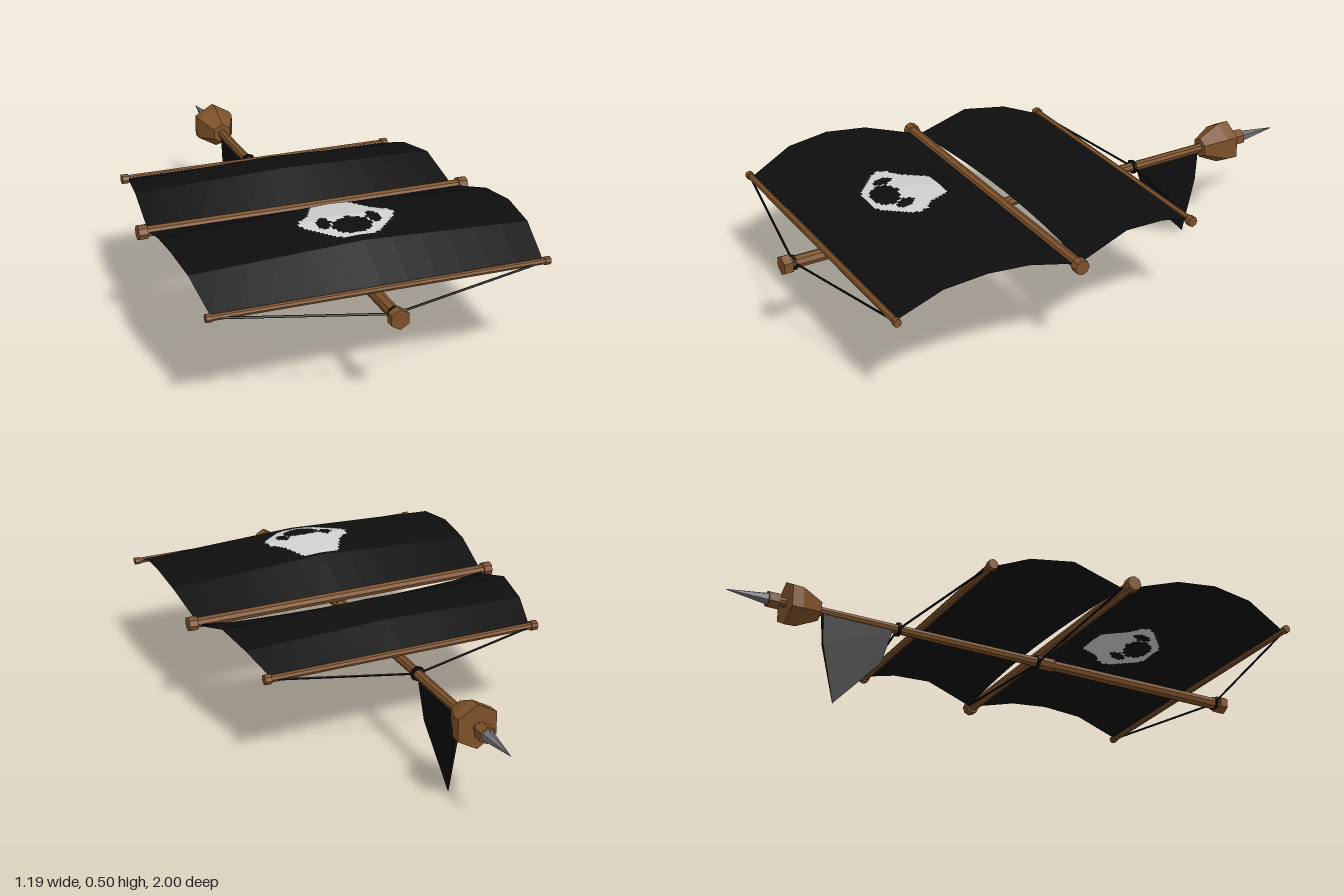
import * as THREE from 'three';

const mat = (name, color, extra = {}) => {
  const m = new THREE.MeshStandardMaterial({ color, flatShading: true, ...extra });
  m.name = name;
  return m;
};
const V = (x, y, z) => new THREE.Vector3(x, y, z);
const UP = V(0, 1, 0);
const MAST_Y = 0.33;

export function createModel() {
  const wood = mat('wood', 0x7d5129);
  const metal = mat('iron', 0x6e6e74);
  const rope = mat('black rope', 0x0e0e0e);
  const cloth = mat('black cloth', 0x0e0e0e, { side: THREE.DoubleSide });
  const paint = mat('pale paint', 0xcfcfcf, { side: THREE.DoubleSide });

  const group = new THREE.Group();
  const add = (name, geometry, material) => {
    const mesh = new THREE.Mesh(geometry, material);
    mesh.name = name;
    group.add(mesh);
    return mesh;
  };

  // Straight round or tapered bar from a to b
  const rod = (name, a, b, r1, r2, sides, material) => {
    const d = b.clone().sub(a);
    const mesh = add(name, new THREE.CylinderGeometry(r2, r1, d.length(), sides), material);
    mesh.position.copy(a).add(b).multiplyScalar(0.5);
    mesh.quaternion.setFromUnitVectors(UP, d.normalize());
  };
  const alongMast = (name, z1, z2, r1, r2, sides, material) =>
    rod(name, V(0, MAST_Y, z1), V(0, MAST_Y, z2), r1, r2, sides, material);

  // Mast with lookout and tip
  alongMast('mastFoot', 1.0, 0.97, 0.034, 0.034, 6, wood);
  alongMast('lowerMast', 0.98, 0.2, 0.022, 0.02, 8, wood);
  alongMast('mastCollar', 0.25, 0.19, 0.025, 0.025, 8, wood);
  alongMast('upperMast', 0.2, -0.82, 0.018, 0.016, 8, wood);
  alongMast('lookoutBasket', -0.665, -0.745, 0.037, 0.077, 6, wood);
  alongMast('lookoutRim', -0.745, -0.785, 0.077, 0.079, 6, wood);
  alongMast('tipCollar', -0.81, -0.85, 0.03, 0.03, 6, wood);
  alongMast('tipSpike', -0.85, -0.995, 0.022, 0.001, 6, metal);
  for (const z of [0.957, 0.185, -0.367])
    alongMast('ropeRing', z + 0.005, z - 0.005, 0.026, 0.026, 8, rope);

  // Yards: [name, half length, y, z, radius, end cap radius]
  for (const [name, half, y, z, r, cap] of [
    ['footYard', 0.57, 0.375, 0.868, 0.011, 0.014],
    ['mainYard', 0.59, 0.383, 0.222, 0.019, 0.026],
    ['topYard', 0.505, 0.369, -0.268, 0.013, 0.018],
  ]) {
    rod(name, V(-half, y, z), V(half, y, z), r, r, 8, wood);
    for (const s of [-1, 1])
      rod(name + 'Cap', V(s * (half - cap), y, z), V(s * (half + 0.005), y, z), cap, cap, 8, wood);
  }

  // Rigging from yard ends to the mast
  for (const s of [-1, 1]) {
    rod('footRope', V(s * 0.56, 0.375, 0.87), V(0, MAST_Y, 0.957), 0.004, 0.004, 5, rope);
    rod('middleRope', V(s * 0.55, 0.38, 0.202), V(0, 0.318, 0.18), 0.004, 0.004, 5, rope);
    rod('topRope', V(s * 0.5, 0.369, -0.27), V(0, MAST_Y, -0.367), 0.004, 0.004, 5, rope);
  }

  // Sail rows: [half width, z at edge, z at centre, y at edge, y at centre]
  const mainRows = [
    [0.555, 0.862, 0.862, 0.375, 0.38], [0.576, 0.71, 0.71, 0.445, 0.47], [0.585, 0.56, 0.56, 0.46, 0.494],
    [0.58, 0.41, 0.41, 0.442, 0.472], [0.56, 0.235, 0.235, 0.385, 0.385],
  ];
  const topRows = [
    [0.553, 0.203, 0.166, 0.376, 0.376], [0.542, 0.02, 0.02, 0.436, 0.45],
    [0.52, -0.135, -0.135, 0.418, 0.434], [0.485, -0.262, -0.262, 0.372, 0.374],
  ];
  const sailPoint = (rows, u, v) => {
    const t = v * (rows.length - 1);
    const i = Math.min(Math.floor(t), rows.length - 2);
    const [w, zE, zC, yE, yC] = rows[i].map((a, k) => a + (rows[i + 1][k] - a) * (t - i));
    const c = 1 - Math.abs(u);
    return [u * w, yE + (yC - yE) * c, zE + (zC - zE) * (1 - u * u)];
  };
  const quads = (list) => {
    const pos = [];
    for (const [a, b, c, d] of list) pos.push(...a, ...b, ...c, ...a, ...c, ...d);
    const g = new THREE.BufferGeometry();
    g.setAttribute('position', new THREE.Float32BufferAttribute(pos, 3));
    g.computeVertexNormals();
    return g;
  };
  // Cells of a sail surface, kept by a test and lifted off the cloth
  const sailCells = (rows, nu, nv, keep = () => true, lift = 0) => {
    const list = [];
    const at = (i, j) => {
      const p = sailPoint(rows, -1 + (2 * i) / nu, j / nv);
      p[1] += lift;
      return p;
    };
    for (let i = 0; i < nu; i++)
      for (let j = 0; j < nv; j++) {
        const mid = sailPoint(rows, -1 + (2 * i + 1) / nu, (j + 0.5) / nv);
        if (keep(mid[0], mid[2]))
          list.push([at(i, j), at(i + 1, j), at(i + 1, j + 1), at(i, j + 1)]);
      }
    return quads(list);
  };
  add('mainSail', sailCells(mainRows, 12, 4), cloth);
  add('topSail', sailCells(topRows, 12, 3), cloth);

  // Pale painted patch, showing on both faces of the main sail
  const outline = [[0.42, 0.065], [0.45, 0.085], [0.5, 0.11], [0.54, 0.155], [0.57, 0.165], [0.61, 0.14],
    [0.645, 0.105], [0.68, 0.055]];
  const inEllipse = (x, z, cx, cz, rx, rz) => ((x - cx) / rx) ** 2 + ((z - cz) / rz) ** 2 < 1;
  const painted = (x, z) => {
    const ax = Math.abs(x);
    const k = outline.findIndex((p) => z < p[0]);
    if (k < 1) return false;
    const [z0, w0] = outline[k - 1], [z1, w1] = outline[k];
    if (ax > w0 + ((w1 - w0) * (z - z0)) / (z1 - z0)) return false;
    return !inEllipse(ax, z, 0, 0.618, 0.065, 0.045) && !inEllipse(ax, z, 0.085, 0.585, 0.022, 0.03);
  };
  for (const lift of [0.003, -0.003])
    add('sailPatch', sailCells(mainRows, 120, 64, painted, lift), paint);

  // Hanging flag, thick at the mast and thin at its point
  const rim = [[-0.39, 0.318], [-0.43, 0.185], [-0.6, 0.002], [-0.645, 0.21], [-0.65, 0.318]];
  const side = (s) => rim.map(([z, y]) => [s * (0.001 + 0.028 * y), y, z]);
  const [L, R] = [side(1), side(-1)];
  const faces = [];
  for (const p of [L, R]) faces.push([p[0], p[1], p[3], p[4]], [p[1], p[2], p[3], p[3]]);
  rim.forEach((_, i) => {
    const n = (i + 1) % rim.length;
    faces.push([L[i], L[n], R[n], R[i]]);
  });
  add('flag', quads(faces), cloth);

  return group;
}
